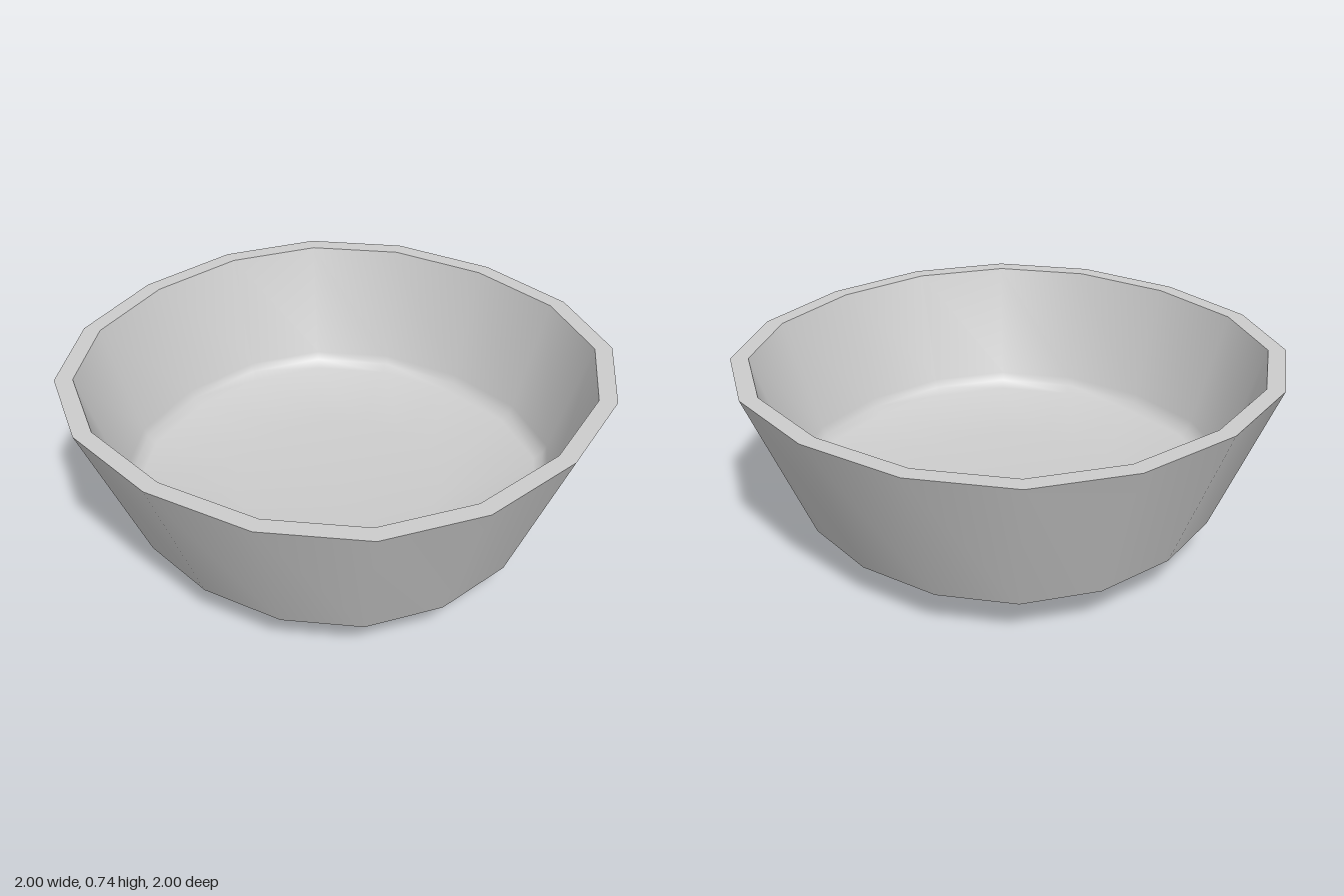
import * as THREE from 'three';
import { toCreasedNormals } from 'three/addons/utils/BufferGeometryUtils.js';

// Push a round, 16-sided lathe slightly towards a rounded square.
function squareOff(geometry, amount) {
  const pos = geometry.attributes.position;
  for (let i = 0; i < pos.count; i++) {
    const x = pos.getX(i), z = pos.getZ(i);
    const r2 = x * x + z * z;
    if (r2 < 1e-8) continue;
    pos.setX(i, x * (1 + amount * z * z / r2));
    pos.setZ(i, z * (1 + amount * x * x / r2));
  }
  return geometry;
}

export function createModel() {
  const group = new THREE.Group();
  group.name = 'bowl';

  // Closed half section: [radius, height] from the base centre to the floor centre
  const profile = [
    [0, 0], [0.385, 0],                               // underside of the foot
    [0.385, 0.035], [0.391, 0.052], [0.41, 0.064],    // foot flaring into the body
    [0.767, 0.158],                                   // sloping underside
    [1, 0.735], [0.935, 0.735],                       // outer wall and flat rim
    [0.797, 0.3], [0.783, 0.267], [0.75, 0.243],      // inner wall and soft corner
    [0.4, 0.205], [0, 0.19],                          // shallow dished floor
  ].map(([r, y]) => new THREE.Vector2(r, y));

  const lathe = squareOff(new THREE.LatheGeometry(profile, 16), 0.075);
  const body = new THREE.Mesh(
    toCreasedNormals(lathe, 0.8),
    new THREE.MeshStandardMaterial({ color: 0xcccccc })
  );
  body.name = 'bowlBody';
  group.add(body);
  return group;
}
